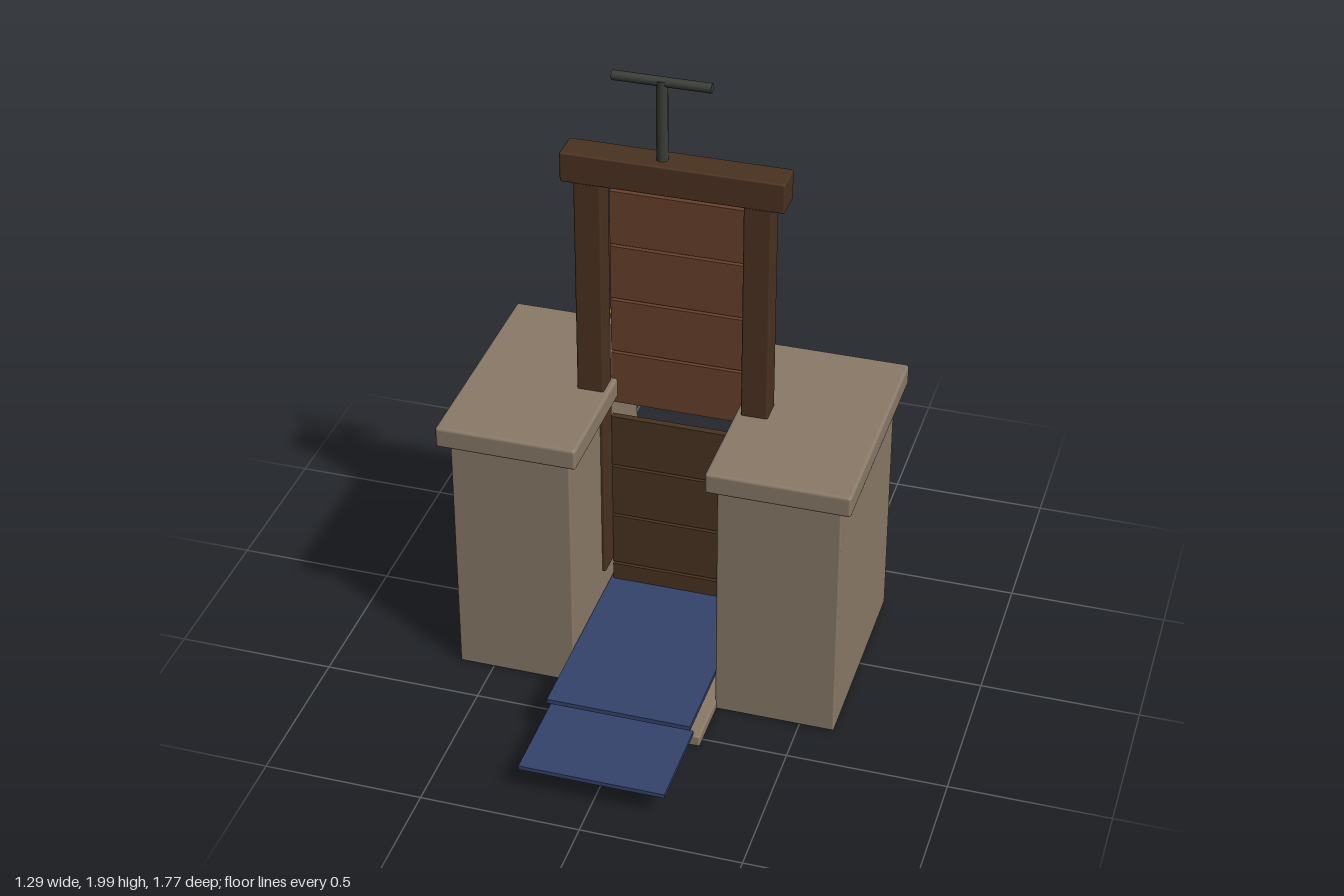
import * as THREE from 'three';
import { RoundedBoxGeometry } from 'three/addons/geometries/RoundedBoxGeometry.js';
import { mergeVertices } from 'three/addons/utils/BufferGeometryUtils.js';

const paint = (name, color) => {
  const m = new THREE.MeshStandardMaterial({ color });
  m.name = name;
  return m;
};

export function createModel() {
  const model = new THREE.Group();
  model.name = 'sluiceGate';

  const stone = paint('stone', 0x8a7a68);
  const frameWood = paint('frameWood', 0x4a3220);
  const gateWood = paint('gateWood', 0x68402c);
  const lowerWood = paint('lowerWood', 0x493321);
  const water = paint('water', 0x35436c);
  const iron = paint('iron', 0x3a3d38);
  const weed = paint('weed', 0x85773f);
  const rubble = paint('rubble', 0x94806e);
  const driftwood = paint('driftwood', 0x573720);

  const add = (name, geometry, material, x = 0, y = 0, z = 0, parent = model) => {
    const mesh = new THREE.Mesh(geometry, material);
    mesh.name = name;
    mesh.position.set(x, y, z);
    parent.add(mesh);
    return mesh;
  };
  // Box given by its lower and upper bounds, with slightly softened edges
  const block = (name, material, [x0, x1], [y0, y1], [z0, z1], r = 0.006) => {
    const size = [x1 - x0, y1 - y0, z1 - z0];
    const geometry = r ? new RoundedBoxGeometry(...size, 2, r) : new THREE.BoxGeometry(...size);
    return add(name, geometry, material, (x0 + x1) / 2, (y0 + y1) / 2, (z0 + z1) / 2);
  };

  // Masonry piers with caps, and gate posts, on both sides
  for (const [side, s] of [['left', 1], ['right', -1]]) {
    const span = (a, b) => (s > 0 ? [a, b] : [-b, -a]);
    block(side + 'Pier', stone, span(0.23, 0.61), [0.01, 0.85], [-0.335, 0.35]);
    block(side + 'PierCap', stone, span(0.2, 0.645), [0.845, 0.915], [-0.373, 0.383], 0.01);
    block(side + 'Post', frameWood, span(0.218, 0.302), [0.23, 1.64], [-0.032, 0.052]);
  }
  block('baseSlab', stone, [-0.235, 0.235], [0.008, 0.046], [-0.522, 0.538]);
  block('header', frameWood, [-0.342, 0.342], [1.635, 1.732], [-0.045, 0.056]);

  // Gate boards: raised panel above, fixed panel below
  for (let i = 0; i < 4; i++) {
    const y = 0.828 + i * 0.189;
    block('gateBoard', gateWood, [-0.218, 0.218], [y, y + 0.18], [-0.056, -0.034], 0);
    const top = 0.775 - i * 0.189;
    block('lowerBoard', lowerWood, [-0.22, 0.22], [Math.max(top - 0.18, 0.05), top], [-0.05, -0.028], 0);
  }

  // Lifting handle
  const handle = new THREE.Group();
  handle.name = 'handle';
  model.add(handle);
  add('handleStem', new THREE.CylinderGeometry(0.018, 0.018, 0.26, 12), iron, -0.04, 1.86, 0.008, handle);
  add('handleBar', new THREE.CylinderGeometry(0.015, 0.015, 0.3, 12), iron, -0.04, 1.985, 0.008, handle)
    .rotation.z = Math.PI / 2;

  // Sagging strand of weed across the back of the gate
  const strand = new THREE.CurvePath();
  const points = [[0.25, 1.16, -0.06], [0.02, 1.11, -0.07], [-0.25, 1.14, -0.06]]
    .map(p => new THREE.Vector3(...p));
  strand.add(new THREE.LineCurve3(points[0], points[1]));
  strand.add(new THREE.LineCurve3(points[1], points[2]));
  add('weedStrand', new THREE.TubeGeometry(strand, 12, 0.008, 6), weed);

  // Water sheets
  block('upperWater', water, [-0.228, 0.228], [0.134, 0.149], [-0.365, 0.617], 0);
  block('lowerWater', water, [-0.228, 0.228], [0.09, 0.104], [0.58, 0.885], 0);

  // Debris pile: uneven lumps [name, material, centre, radii, turn]
  const lump = (name, material, [x, y, z], [rx, ry, rz], turn, seed) => {
    let geometry = new THREE.IcosahedronGeometry(1, 1);
    geometry.deleteAttribute('normal');
    geometry.deleteAttribute('uv');
    geometry = mergeVertices(geometry);
    const pos = geometry.attributes.position;
    for (let i = 0; i < pos.count; i++) {
      const k = 1 + 0.08 * Math.sin(i * 12.9 + seed * 4.7);
      pos.setXYZ(i, pos.getX(i) * k * rx, pos.getY(i) * k * ry, pos.getZ(i) * k * rz);
    }
    geometry.computeVertexNormals();
    add(name, geometry, material, x, y, z).rotation.y = turn;
  };
  [
    ['debrisStone', rubble, [-0.15, 0.12, -0.41], [0.16, 0.085, 0.12], 0.2],
    ['debrisStone', rubble, [0.14, 0.13, -0.48], [0.155, 0.09, 0.15], 0.5],
    ['debrisStone', rubble, [-0.03, 0.125, -0.635], [0.13, 0.08, 0.095], 0],
    ['debrisWeed', weed, [-0.16, 0.12, -0.545], [0.135, 0.065, 0.06], 0.1],
    ['debrisWeed', weed, [0.22, 0.115, -0.575], [0.1, 0.065, 0.075], -0.4],
    ['debrisStump', frameWood, [0.14, 0.125, -0.7], [0.155, 0.075, 0.075], -0.1],
    ['debrisChip', driftwood, [-0.03, 0.15, -0.505], [0.03, 0.025, 0.03], 0],
  ].forEach((part, i) => lump(...part, i));

  // Loose plank caught under the pile
  add('debrisPlank', new THREE.BoxGeometry(0.06, 0.042, 0.59), driftwood, 0.23, 0.099, -0.61)
    .rotation.y = 0.5;

  return model;
}
